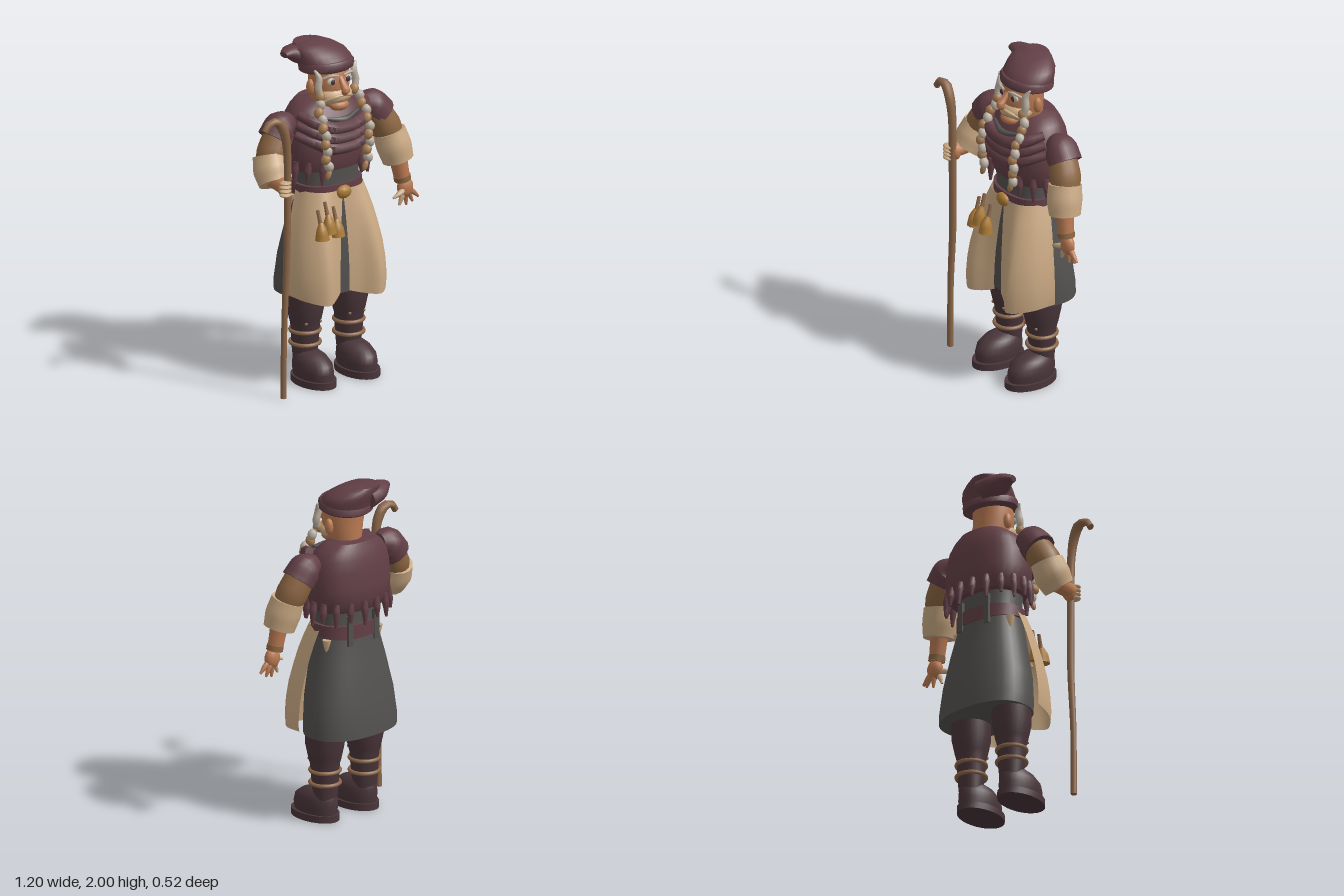
import * as THREE from 'three';
import { toCreasedNormals } from 'three/addons/utils/BufferGeometryUtils.js';

const M = (name, color, side = THREE.FrontSide) => new THREE.MeshStandardMaterial({ name, color, side });
const V = (p) => new THREE.Vector3(...p);
const lerp = THREE.MathUtils.lerp;

export function createModel() {
  const root = new THREE.Group();
  root.name = 'traveller';
  const maroon = M('maroon cloth', 0x623f46), boot = M('dark leather', 0x49353a);
  const grey = M('grey coat', 0x53514f, THREE.DoubleSide), cream = M('cream cloth', 0xcbaa84, THREE.DoubleSide);
  const sleeve = M('brown cloth', 0x8b6542), skin = M('skin', 0xba7a52), wood = M('wood', 0x8c674a);
  const gold = M('brass', 0xab7b36), hair = M('pale hair', 0xb9aea0), braidTan = M('tan braid', 0xa97f54);

  const add = (name, geo, mat, parent = root) => {
    const m = new THREE.Mesh(geo, mat);
    m.name = name;
    parent.add(m);
    return m;
  };
  // Surface through rows of points; rows run upward, each row counter-clockwise from above
  const grid = (rows) => {
    const pos = rows.flat(2), idx = [], n = rows[0].length;
    for (let i = 0; i < rows.length - 1; i++) for (let j = 0; j < n - 1; j++) {
      const a = i * n + j, c = a + n;
      idx.push(a, a + 1, c + 1, a, c + 1, c);
    }
    const g = new THREE.BufferGeometry();
    g.setAttribute('position', new THREE.Float32BufferAttribute(pos, 3));
    g.setIndex(idx);
    return toCreasedNormals(g, 0.8);
  };
  // Capped stack of superellipse rings [y, cx, cz, rx, rz, tilt]
  const loft = (rings, p = 1, n = 28) => {
    const pw = (v) => Math.sign(v) * Math.abs(v) ** p;
    const ring = ([y, cx, cz, rx, rz, tilt = 0], k = 1) => Array.from({ length: n + 1 }, (_, j) => {
      const a = (j % n) / n * Math.PI * 2, z = k * rz * pw(Math.cos(a));
      return [cx + k * rx * pw(Math.sin(a)), y + tilt * z, cz + z];
    });
    return grid([ring(rings[0], 0), ...rings.map((r) => ring(r)), ring(rings.at(-1), 0)]);
  };
  // Capped tube along points, with a radius for each point
  const taper = (pts, radii, seg = 12, sides = 12) => {
    const c = new THREE.CatmullRomCurve3(pts.map(V)), g = new THREE.TubeGeometry(c, seg, 1, sides);
    const P = g.attributes.position, v = new THREE.Vector3();
    for (let i = 0; i <= seg; i++) {
      const u = THREE.MathUtils.clamp((i - 1) / (seg - 2), 0, 1);
      const t = c.getUtoTmapping(u) * (radii.length - 1), k = Math.min(Math.floor(t), radii.length - 2);
      const r = i === 0 || i === seg ? 0 : lerp(radii[k], radii[k + 1], t - k);
      const from = c.getPointAt(i / seg), to = c.getPointAt(u);
      for (let j = 0; j <= sides; j++) {
        const q = i * (sides + 1) + j;
        v.fromBufferAttribute(P, q).sub(from).multiplyScalar(r).add(to);
        P.setXYZ(q, v.x, v.y, v.z);
      }
    }
    return toCreasedNormals(g, 0.9);
  };
  const ball = (p, s, n = 16) => new THREE.SphereGeometry(1, n, Math.ceil(n * 0.7)).scale(...s).translate(...p);

  // Legs and boots
  for (const s of [1, -1]) {
    const x = 0.155 * s, leg = new THREE.Group();
    leg.name = s > 0 ? 'leftLeg' : 'rightLeg';
    root.add(leg);
    add('sole', loft([[0, x, 0.065, 0.107, 0.167], [0.04, x, 0.065, 0.107, 0.167]]), boot, leg);
    add('foot', loft([[0.03, x, 0.06, 0.09, 0.148], [0.08, x, 0.06, 0.098, 0.153], [0.125, x, 0.055, 0.094, 0.146],
      [0.16, x, 0.035, 0.08, 0.118], [0.183, x, 0.015, 0.055, 0.08], [0.19, x, 0.005, 0.03, 0.045]]), boot, leg);
    add('shin', loft([[0.13, x, -0.02, 0.07, 0.065], [0.2, x, -0.018, 0.077, 0.076], [0.34, x, -0.015, 0.086, 0.086],
      [0.37, x, -0.015, 0.094, 0.095], [0.46, x, -0.015, 0.112, 0.115], [0.6, x, -0.02, 0.115, 0.118]]), boot, leg);
    for (const y of [0.225, 0.3]) {
      const t = add('strap', new THREE.TorusGeometry(0.085, 0.012, 8, 28).rotateX(Math.PI / 2), wood, leg);
      t.position.set(x, y, -0.016);
    }
    for (const d of [-1, 1]) add('stud', ball([x + 0.05 * d, 0.36, 0.062], [0.01, 0.01, 0.01], 8), wood, leg);
  }

  // Coat skirt and waist
  add('coatSkirt', loft([[0.545, 0, -0.05, 0.27, 0.17], [0.53, 0, -0.06, 0.298, 0.198], [0.6, 0, -0.058, 0.3, 0.197],
    [0.75, 0, -0.048, 0.285, 0.188], [0.95, 0, -0.035, 0.24, 0.168], [1.1, 0, -0.022, 0.205, 0.148],
    [1.2, 0, -0.02, 0.19, 0.14], [1.35, 0, -0.02, 0.2, 0.15]], 0.85, 36), grey);

  // Front apron panels, blended from the waist outline to the hem outline
  const waist = [[0, 0.135], [0.07, 0.145], [0.14, 0.125], [0.195, 0.06], [0.212, -0.03]];
  const hem = [[0.02, 0.175], [0.09, 0.205], [0.185, 0.262], [0.285, 0.17], [0.33, 0.02]];
  const levels = [[0.52, 0.96], [0.6, 1], [0.7, 0.95], [0.8, 0.84], [0.9, 0.66], [1.0, 0.45], [1.08, 0.24], [1.16, 0]];
  for (const s of [1, -1]) {
    const rows = levels.map(([y, k]) => {
      const pts = waist.map((w, i) => V([lerp(w[0], hem[i][0] + (s < 0 && i === 0 ? 0.025 : 0), k) * s,
        y + (y < 0.55 ? [0.03, 0.01, 0, 0.02, 0.04][i] : 0), lerp(w[1], hem[i][1], k)]));
      const row = new THREE.CatmullRomCurve3(pts).getPoints(16).map((p) => p.toArray());
      return s > 0 ? row : row.reverse();
    });
    add(s > 0 ? 'leftApron' : 'rightApron', grid(rows), cream);
    add('sideTab', new THREE.ConeGeometry(0.026, 0.11, 8).rotateX(Math.PI).translate(0.202 * s, 1.055, -0.08), cream);
  }

  // Belt, buckle, rear loops and hanging tools
  add('belt', loft([[1.125, 0, -0.02, 0.215, 0.158, 0.12], [1.19, 0, -0.02, 0.212, 0.158]], 0.88, 36), maroon);
  for (const x of [-0.1, 0.1]) add('beltLoop', new THREE.BoxGeometry(0.035, 0.18, 0.02).translate(x, 1.16, -0.166), grey);
  add('buckle', ball([0, 1.145, 0.145], [0.052, 0.04, 0.03], 10), gold);
  for (const [x, y, h] of [[-0.195, 0.91, 0.1], [-0.145, 0.94, 0.11], [-0.085, 0.91, 0.1]]) {
    add('brassBell', taper([[x, y, 0.205], [x, y + h * 0.55, 0.2], [x, y + h, 0.19]], [0.042, 0.034, 0.012], 8, 10), gold);
    add('bellHandle', taper([[x, y + h - 0.02, 0.19], [x - 0.005, y + h + 0.07, 0.165]], [0.013, 0.01], 5, 8), wood);
  }

  // Mantle with folds across the chest
  add('mantle', loft([[1.28, 0, -0.035, 0.235, 0.165], [1.33, 0, -0.04, 0.262, 0.188], [1.42, 0, -0.038, 0.268, 0.19],
    [1.52, 0, -0.038, 0.262, 0.182], [1.59, 0, -0.05, 0.24, 0.16], [1.64, 0, -0.06, 0.205, 0.132],
    [1.68, 0, -0.07, 0.15, 0.105]], 0.85, 36), maroon);
  [1.43, 1.49, 1.55].forEach((y, i) => {
    const w = 0.255 - i * 0.01;
    add('chestFold', taper([[-w, y + 0.075, 0.03], [-0.18, y + 0.04, 0.115], [-0.09, y, 0.15], [0.09, y, 0.15],
      [0.18, y + 0.04, 0.115], [w, y + 0.075, 0.03]], [0.026, 0.036, 0.04, 0.04, 0.036, 0.026], 24, 7), maroon);
  });
  add('neckline', taper([[-0.12, 1.605, 0.115], [0, 1.585, 0.15], [0.12, 1.605, 0.115]], [0.01, 0.02, 0.01], 12, 8), grey);
  for (let i = 0; i < 18; i++) {
    const a = i / 18 * Math.PI * 2 + 0.17, x = 0.262 * Math.sin(a), z = -0.04 + 0.188 * Math.cos(a);
    const d = 0.025 * (i % 2);
    if (Math.abs(x) < 0.1 && z > 0) continue;
    add('tassel', taper([[x, 1.345, z], [x * 1.04, 1.29, z * 1.04], [x * 1.06, 1.205 + d, z * 1.06]],
      [0.02, 0.022, 0.008], 8, 7), maroon);
  }

  // Shoulders and sleeves
  for (const s of [1, -1]) {
    add('shoulderCap', taper([[0.25 * s, 1.575, -0.03], [0.315 * s, 1.56, -0.028], [0.372 * s, 1.495, -0.02]],
      [0.055, 0.095, 0.1], 12, 14), maroon);
    add('upperSleeve', taper([[0.33 * s, 1.54, -0.02], [0.4 * s, 1.42, 0], [0.43 * s, 1.34, 0.02]],
      [0.085, 0.092, 0.08], 10, 16), sleeve);
  }

  // Left cuff, forearm and open hand
  add('leftCuff', taper([[0.418, 1.385, 0.015], [0.438, 1.3, 0.033], [0.458, 1.215, 0.045]], [0.097, 0.104, 0.092], 9, 14), cream);
  add('leftForearm', taper([[0.455, 1.24, 0.045], [0.485, 1.08, 0.055]], [0.056, 0.044], 6), skin);
  add('leftWristBand', taper([[0.479, 1.115, 0.054], [0.485, 1.085, 0.055]], [0.05, 0.05], 5), sleeve);
  add('leftPalm', ball([0.5, 1.04, 0.058], [0.052, 0.062, 0.036], 12), skin);
  for (const [x, y, z] of [[0.592, 0.965, 0.06], [0.558, 0.94, 0.05], [0.51, 0.93, 0.055], [0.452, 0.94, 0.065], [0.395, 1.0, 0.085]])
    add('leftFinger', taper([[0.5, 1.035, 0.058], [lerp(0.5, x, 0.55), lerp(1.035, y, 0.45), z], [x, y, z]],
      [0.018, 0.017, 0.007], 7, 8), x < 0.48 ? cream : skin);

  // Right cuff, forearm and fist
  add('rightCuff', taper([[-0.415, 1.41, -0.005], [-0.427, 1.33, 0.032], [-0.438, 1.265, 0.075]], [0.098, 0.108, 0.092], 9, 14), cream);
  add('rightForearm', taper([[-0.435, 1.29, 0.06], [-0.44, 1.275, 0.175]], [0.052, 0.044], 6), skin);
  add('rightPalm', ball([-0.436, 1.27, 0.165], [0.044, 0.054, 0.035], 12), skin);
  for (let i = 0; i < 4; i++)
    add('rightFinger', ball([-0.45, 1.235 + i * 0.024, 0.195], [0.038, 0.013, 0.032], 10), cream);

  // Staff with crook
  add('staff', taper([[-0.455, 0, 0.18], [-0.45, 0.4, 0.182], [-0.432, 0.8, 0.18], [-0.428, 1.2, 0.185], [-0.432, 1.5, 0.185],
    [-0.455, 1.62, 0.185], [-0.5, 1.685, 0.18], [-0.555, 1.68, 0.18], [-0.585, 1.64, 0.18]],
    [0.018, 0.018, 0.021, 0.022, 0.024, 0.029, 0.03, 0.027, 0.02], 48, 10), wood);

  // Head
  const head = new THREE.Group();
  head.name = 'head';
  root.add(head);
  add('skull', loft([[1.62, 0, -0.03, 0.08, 0.09], [1.68, 0, -0.005, 0.1, 0.113], [1.76, 0, 0.002, 0.115, 0.121],
    [1.84, 0, 0, 0.118, 0.12], [1.9, 0, -0.02, 0.11, 0.11]]), skin, head);
  add('beard', ball([0, 1.715, 0.05], [0.114, 0.062, 0.094]), cream, head);
  add('chin', ball([0, 1.66, 0.098], [0.062, 0.034, 0.048], 12), skin, head);
  add('mouth', taper([[-0.04, 1.7, 0.135], [0, 1.697, 0.146], [0.04, 1.7, 0.135]], [0.003, 0.005, 0.003], 8, 6), sleeve, head);
  add('nose', taper([[0, 1.83, 0.11], [0, 1.79, 0.142], [0, 1.76, 0.165], [0, 1.74, 0.145]], [0.014, 0.019, 0.027, 0.014], 12, 10), skin, head);
  for (const s of [1, -1]) {
    add('ear', ball([0.12 * s, 1.76, -0.012], [0.024, 0.048, 0.027], 12), skin, head);
    add('eye', ball([0.055 * s, 1.81, 0.103], [0.034, 0.024, 0.014], 12), hair, head);
    add('iris', ball([0.053 * s, 1.81, 0.114], [0.016, 0.017, 0.007], 10), boot, head);
    add('moustache', taper([[0.005 * s, 1.73, 0.142], [0.05 * s, 1.722, 0.133], [0.1 * s, 1.695, 0.09]], [0.008, 0.012, 0.006], 9, 8), cream, head);
    add('brow', taper([[0.02 * s, 1.843, 0.122], [0.06 * s, 1.852, 0.12], [0.105 * s, 1.835, 0.09]],
      [0.006, 0.01, 0.007], 10, 8), hair, head);
    add('sideburn', taper([[0.145 * s, 1.885, 0.06], [0.122 * s, 1.84, 0.075], [0.132 * s, 1.78, 0.08], [0.122 * s, 1.73, 0.09],
      [0.142 * s, 1.68, 0.1]], [0.006, 0.02, 0.022, 0.018, 0.016], 14, 8), hair, head);
    // Braid of alternating knots
    const path = new THREE.CatmullRomCurve3([[0.12, 1.73, 0.09], [0.148, 1.66, 0.11], [0.155, 1.58, 0.16],
      [0.152, 1.48, 0.185], [0.145, 1.38, 0.18], [0.13, 1.29, 0.185]].map(([x, y, z]) => V([x * s, y, z])));
    for (let i = 0; i < 11; i++) {
      const p = path.getPointAt(i / 10), r = i === 10 ? 0.017 : 0.028;
      const k = add('braidKnot', ball([0, 0, 0], [r, 0.034, r], 10), i % 2 ? hair : braidTan, head);
      k.position.set(p.x + 0.007 * (i % 2 ? 1 : -1), p.y, p.z);
      k.rotation.z = i % 2 ? 0.35 : -0.35;
    }
  }

  // Hat: thick band, slouched crown and drooping tip
  add('hatBand', loft([[1.845, 0, -0.025, 0.15, 0.135, 0.1], [1.855, 0, -0.025, 0.164, 0.147, 0.1],
    [1.89, 0, -0.025, 0.166, 0.149, 0.1], [1.905, 0, -0.025, 0.155, 0.138, 0.1]]), maroon, head);
  add('hatCrown', loft([[1.88, 0, -0.03, 0.158, 0.142], [1.915, -0.002, -0.04, 0.163, 0.14], [1.95, -0.015, -0.065, 0.155, 0.13],
    [1.98, -0.04, -0.09, 0.132, 0.11], [2, -0.055, -0.11, 0.095, 0.09]]), maroon, head);
  add('hatTip', taper([[-0.06, 1.925, -0.1], [-0.14, 1.94, -0.11], [-0.2, 1.957, -0.11], [-0.245, 1.955, -0.1]],
    [0.075, 0.058, 0.035, 0.018], 12, 12).translate(0, 0, 0.1).scale(1, 1, 1.6).translate(0, 0, -0.1), maroon, head);
  return root;
}
